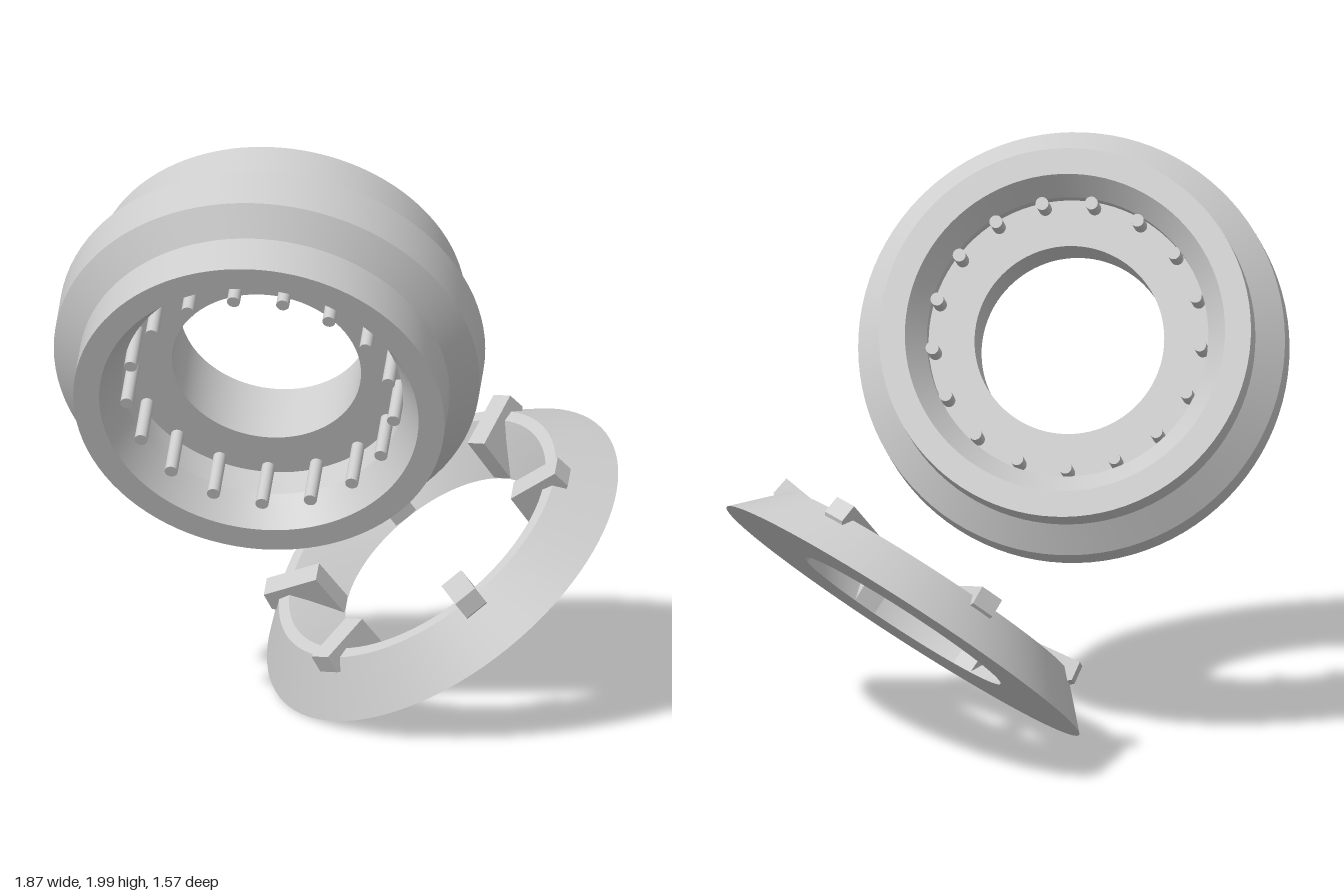
import * as THREE from 'three';
import { toCreasedNormals } from 'three/addons/utils/BufferGeometryUtils.js';

const material = new THREE.MeshStandardMaterial({ color: 0xcccccc });

function addMesh(parent, name, geometry) {
  const mesh = new THREE.Mesh(geometry, material);
  mesh.name = name;
  parent.add(mesh);
  return mesh;
}

// Solid of revolution from a closed profile of [radius, height], sharp at corners
function turned(profile) {
  const points = [...profile, profile[0]].map(([r, y]) => new THREE.Vector2(r, y));
  return toCreasedNormals(new THREE.LatheGeometry(points, 96), 0.4);
}

// Group whose local y follows axis and whose local x points towards start
function tiltedGroup(name, position, axis, start) {
  const y = new THREE.Vector3(...axis).normalize();
  const x = new THREE.Vector3(...start);
  x.addScaledVector(y, -x.dot(y)).normalize();
  const z = new THREE.Vector3().crossVectors(x, y);
  const group = new THREE.Group();
  group.name = name;
  group.position.set(...position);
  group.quaternion.setFromRotationMatrix(new THREE.Matrix4().makeBasis(x, y, z));
  return group;
}

function createHub() {
  const hub = tiltedGroup('hub', [-0.278, 1.3, -0.091], [0.725, 0.418, -0.548], [-0.191, 0.411, 0.061]);

  // Body: raised belt outside, a recess at each end and a central bore
  addMesh(hub, 'hubBody', turned([
    [0.32, -0.09], [0.475, -0.09], [0.475, -0.2], [0.54, -0.311],
    [0.6275, -0.311], [0.6275, -0.155], [0.72, -0.08],
    [0.72, 0.08], [0.6275, 0.155], [0.6275, 0.311],
    [0.54, 0.311], [0.475, 0.22], [0.475, 0.156], [0.32, 0.156],
  ]));

  // Ring of pins running through the web into both recesses
  const pinCount = 17;
  const pinGeometry = new THREE.CylinderGeometry(0.022, 0.022, 0.556, 20);
  for (let i = 0; i < pinCount; i++) {
    const a = (i / pinCount) * Math.PI * 2;
    addMesh(hub, 'pin', pinGeometry).position.set(0.453 * Math.cos(a), 0, 0.453 * Math.sin(a));
  }
  return hub;
}

function createCap() {
  const cap = tiltedGroup('cap', [0.3625, 0.442, 0.095], [-0.591, 0.785, -0.188], [0.394, 0.289, -0.03]);

  // Bevelled ring with a flared inner wall
  addMesh(cap, 'capRing', turned([
    [0.39, 0], [0.705, 0], [0.556, 0.155], [0.515, 0.155], [0.467, 0.1],
  ]));

  // Six clips across the inner edge
  const outline = new THREE.Shape(
    [[0.39, 0], [0.45, 0], [0.6, 0.13], [0.59, 0.195], [0.395, 0.17]]
      .map(([r, y]) => new THREE.Vector2(r, y))
  );
  const width = 0.085;
  const clipGeometry = new THREE.ExtrudeGeometry(outline, { depth: width, bevelEnabled: false });
  clipGeometry.translate(0, 0, -width / 2);
  for (let i = 0; i < 6; i++) {
    addMesh(cap, 'clip', clipGeometry).rotation.y = (i * Math.PI) / 3;
  }
  return cap;
}

export function createModel() {
  const model = new THREE.Group();
  model.name = 'hubAndCap';
  model.add(createHub(), createCap());
  return model;
}
